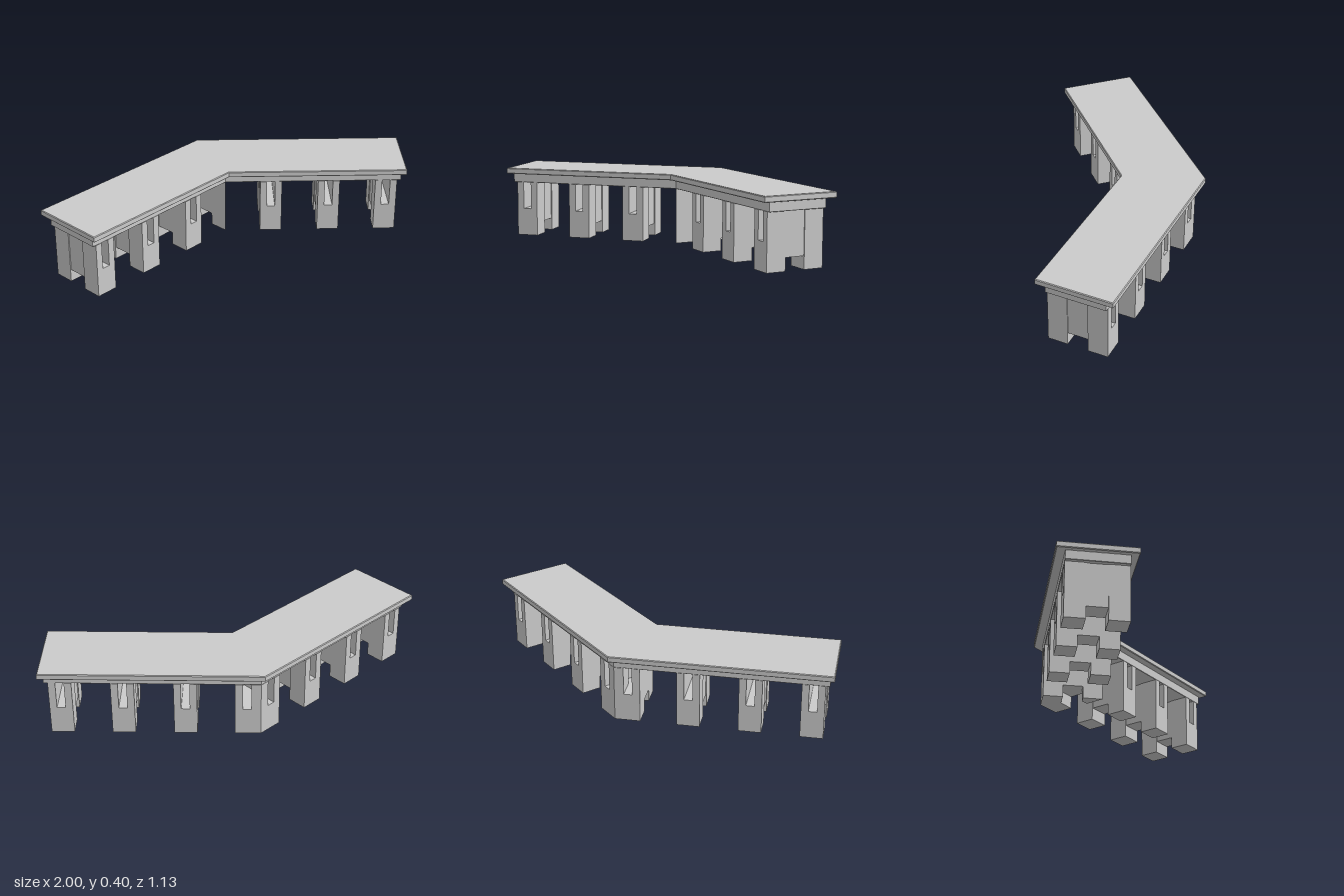
import * as THREE from 'three';

const material = new THREE.MeshStandardMaterial({ color: 0xcccccc, flatShading: true });

// The two wings mirror each other across the mitre line through the bend.
const INNER = [0, -0.142];
const U = [-Math.sin(Math.PI / 8), -Math.cos(Math.PI / 8)];
const mirror = ([x, z]) => {
  const dx = x - INNER[0], dz = z - INNER[1];
  const d = 2 * (dx * U[0] + dz * U[1]);
  return [INNER[0] + d * U[0] - dx, INNER[1] + d * U[1] - dz];
};
// Point of the mitre line at a given z or x
const mitreZ = z => [(z - INNER[1]) * U[0] / U[1], z];
const mitreX = x => [x, INNER[1] + x * U[1] / U[0]];

// Upright prism over a plan outline of [x, z] points
function prism(parent, name, points, y0, y1, bevel = 0) {
  const shape = new THREE.Shape(points.map(([x, z]) => new THREE.Vector2(x, -z)));
  const geometry = new THREE.ExtrudeGeometry(shape, {
    depth: y1 - y0 - 2 * bevel, bevelEnabled: bevel > 0,
    bevelSize: bevel, bevelThickness: bevel, bevelOffset: -bevel, bevelSegments: 1,
  });
  geometry.rotateX(-Math.PI / 2).translate(0, y0 + bevel, 0);
  const mesh = new THREE.Mesh(geometry, material);
  mesh.name = name;
  parent.add(mesh);
}

const rect = (x0, x1, z0, z1) => [[x0, z0], [x1, z0], [x1, z1], [x0, z1]];

// Full bent outline: mitre point, right half, mitre point, mirrored half
const bent = (zFront, zBack, xEnd) => {
  const half = [[xEnd, zFront], [xEnd, zBack]];
  return [mitreZ(zFront), ...half, mitreZ(zBack), ...half.map(mirror).reverse()];
};

const FRONT = -0.185, BACK = -0.517;   // pier faces
const COL = 0.11;                      // column depth
const ARCH = 0.07, SLOT = 0.155, TOP = 0.31;

// Pier: two slotted columns joined by a slightly recessed web raised off the floor
function pier(parent, cx, map, name) {
  const group = new THREE.Group();
  group.name = name;
  const add = (part, x0, x1, z0, z1, y0, y1) =>
    prism(group, part, rect(cx + x0, cx + x1, z0, z1).map(map), y0, y1);
  const w = 0.061, s = 0.0225, r = 0.056;
  for (const [part, z0, z1] of [['frontColumn', FRONT - COL, FRONT], ['backColumn', BACK, BACK + COL]]) {
    add(part, -w, w, z0, z1, 0, SLOT);
    add(part + 'Prong', -w, -s, z0, z1, SLOT, TOP);
    add(part + 'Prong', s, w, z0, z1, SLOT, TOP);
  }
  const z0 = BACK + COL, z1 = FRONT - COL;
  add('web', -r, r, z0, z1, ARCH, SLOT);
  add('webWall', -r, -s, z0, z1, SLOT, TOP);
  add('webWall', s, r, z0, z1, SLOT, TOP);
  parent.add(group);
}

// Kite-shaped pier filling the bend
function cornerPier(parent) {
  const group = new THREE.Group();
  group.name = 'cornerPier';
  const x = mitreZ(FRONT)[0];
  const kite = (start, half, end) => [start, ...half, end, ...half.map(mirror).reverse()];
  const zA = FRONT - COL, zB = BACK + COL;
  prism(group, 'innerFoot', kite(mitreZ(FRONT), [[x, zA]], mitreZ(zA)), 0, ARCH);
  prism(group, 'outerFoot', kite(mitreZ(zB), [[x, zB], [x, BACK]], mitreZ(BACK)), 0, ARCH);
  prism(group, 'body', kite(mitreZ(FRONT), [[x, BACK]], mitreZ(BACK)), ARCH, SLOT);
  // Slots from both outer faces meet on the mitre line
  const s0 = -0.105, s1 = -0.06;
  prism(group, 'innerWall', kite(mitreZ(FRONT), [[x, BACK], [s1, BACK]], mitreX(s1)), SLOT, TOP);
  prism(group, 'outerWall', kite(mitreX(s0), [[s0, BACK]], mitreZ(BACK)), SLOT, TOP);
  parent.add(group);
}

export function createModel() {
  const model = new THREE.Group();
  model.name = 'bentPlatform';

  // Deck slab and the narrower beam layer below it
  prism(model, 'deck', bent(-0.142, -0.565, 0.998), 0.362, 0.395, 0.004);
  prism(model, 'beam', bent(FRONT, BACK, 0.973), TOP, 0.362, 0.002);

  // Three piers on each wing
  for (const cx of [0.24, 0.567, 0.891]) {
    pier(model, cx, p => p, 'leftPier');
    pier(model, cx, mirror, 'rightPier');
  }
  cornerPier(model);
  return model;
}
